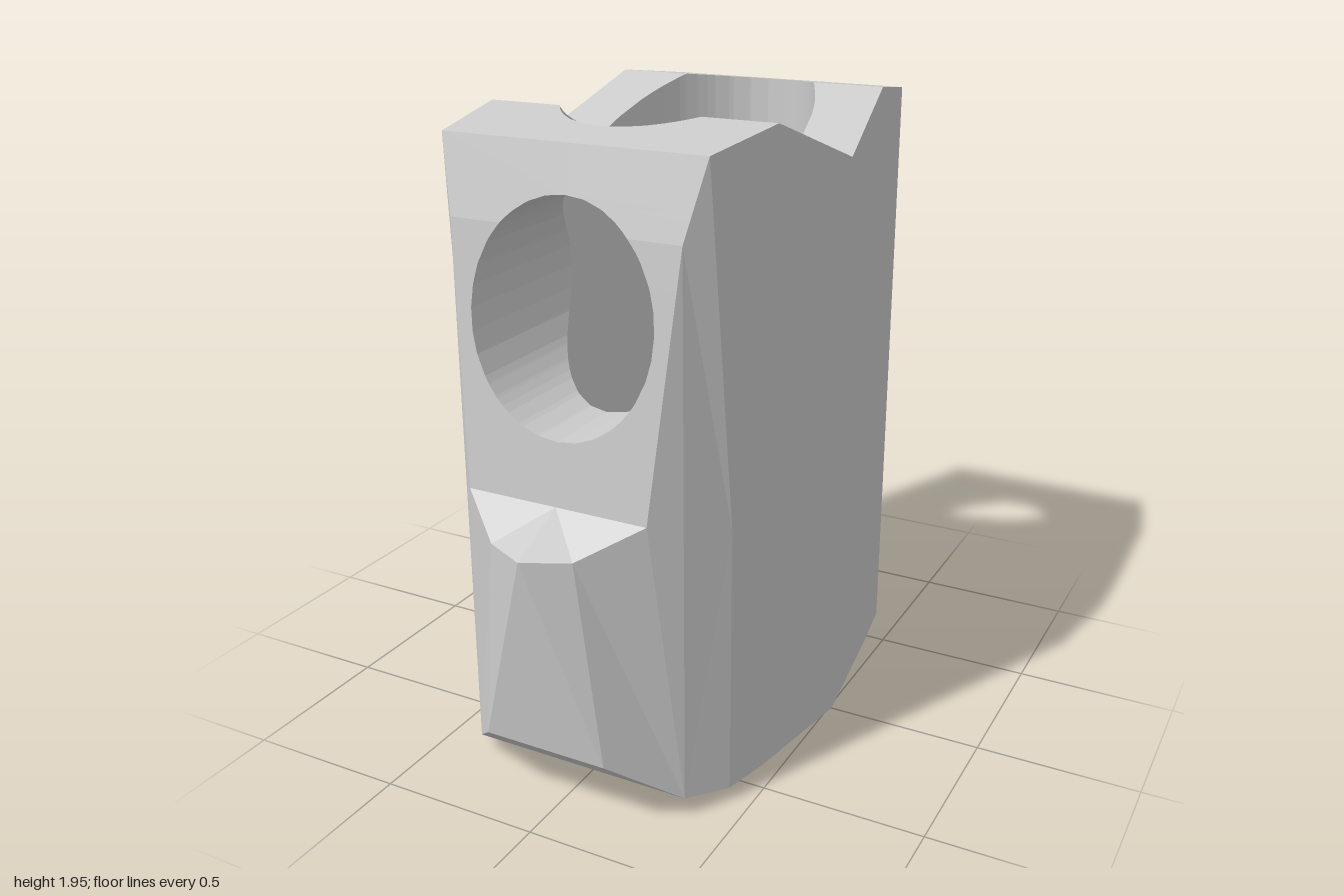
import * as THREE from 'three';

// piecewise-linear lookup through [key, value] pairs
function along(pairs, k) {
  let i = 0;
  while (i < pairs.length - 2 && k > pairs[i + 1][0]) i++;
  const [k0, v0] = pairs[i], [k1, v1] = pairs[i + 1];
  return v0 + (v1 - v0) * (k - k0) / (k1 - k0);
}
// half-width of an ellipse at distance d from its centre
const ellipse = (a, b, d) => a * Math.sqrt(Math.max(0, 1 - (d / b) ** 2));

// triangles between two matching lines of points
function strip(a, b) {
  const tris = [];
  for (let i = 0; i < a.length - 1; i++) {
    tris.push([a[i], b[i], b[i + 1]], [a[i], b[i + 1], a[i + 1]]);
  }
  return tris;
}
// triangles of a polygon, all sharing its first corner
const fan = (p) => p.slice(2).map((q, i) => [p[0], p[i + 1], q]);

// mirror a quarter into all four, turning each triangle along the direction outward(centroid)
function mirroredMesh(name, tris, outward) {
  const pos = [];
  for (const sx of [1, -1]) {
    for (const sz of [1, -1]) {
      for (const tri of tris) {
        const [a, b, c] = tri.map(([x, y, z]) => new THREE.Vector3(x * sx, y, z * sz));
        const n = b.clone().sub(a).cross(c.clone().sub(a));
        if (n.length() < 1e-9) continue;
        const mid = a.clone().add(b).add(c).divideScalar(3);
        const order = n.dot(outward(mid)) > 0 ? [a, b, c] : [a, c, b];
        order.forEach((v) => pos.push(v.x, v.y, v.z));
      }
    }
  }
  const geo = new THREE.BufferGeometry();
  geo.setAttribute('position', new THREE.Float32BufferAttribute(pos, 3));
  geo.computeVertexNormals();
  const mesh = new THREE.Mesh(geo, new THREE.MeshStandardMaterial({ color: 0xcccccc, flatShading: true }));
  mesh.name = name;
  return mesh;
}

export function createModel() {
  // profiles of the quarter with x >= 0, z >= 0
  const topY = [[0, 1.805], [0.38, 1.95], [0.685, 1.91]];
  const topX = [[0, 0.51], [0.685, 0.405]];
  const bottomY = [[0, 0], [0.43, 0.02], [0.73, 0.06], [0.91, 0.22]];
  const bottomX = [[0, 0.51], [0.6, 0.435], [0.73, 0.355], [0.91, 0.195]];
  const faceZ = [[0.935, 0.81], [1.69, 0.735], [1.91, 0.685]];
  const faceX = [[0.935, 0.285], [1.69, 0.355], [1.91, 0.405]];

  // elliptical bores: one upright, one running front to back
  const BX = 0.32, BZ = 0.53, CX = 0.285, CY = 0.33, MID = 1.45;
  const boreZ = (x) => ellipse(BZ, BX, x);
  const crossY = (x) => ellipse(CY, CX, x);

  // shared x samples, including where the bores meet creases and each other
  const xs = [CX, ellipse(BX, BZ, 0.38), ellipse(CX, CY, 1.69 - MID)];
  for (let i = 0; i <= 8; i++) {
    const s = Math.sin((i / 8) * Math.PI / 2);
    xs.push(BX * s);
    if (i > 0 && i < 8) xs.push(CX * s);
  }
  xs.sort((a, b) => a - b);
  const crossXs = xs.filter((x) => x <= CX);

  // top and underside, running around the upright bore
  const boreZs = xs.map(boreZ).reverse();
  const cap = (zs, yOf, xOf) => strip(
    zs.map((z) => [ellipse(BX, BZ, z), along(yOf, z), z]),
    zs.map((z) => [along(xOf, z), along(yOf, z), z]));
  const top = cap([...boreZs, 0.685], topY, topX);
  const underZs = [...boreZs, 0.43, 0.6, 0.73, 0.91].sort((a, b) => a - b);
  const underside = cap(underZs, bottomY, bottomX);

  // sloping end face, running around the cross bore
  const ys = [0.935, 1.91, ...crossXs.flatMap((x) => [MID - crossY(x), MID + crossY(x)])];
  ys.sort((a, b) => a - b);
  const endFace = strip(
    ys.map((y) => [ellipse(CX, CY, y - MID), y, along(faceZ, y)]),
    ys.map((y) => [along(faceX, y), y, along(faceZ, y)]));

  // corners of the outer walls
  const ledgeEnd = [0.285, 0.935, 0.81], noseSide = [0.13, 0.85, 0.935], noseTip = [0, 0.85, 1];
  const noseFoot = [0.195, 0.22, 0.91], cornerFoot = [0.355, 0.06, 0.73];
  const cornerTop = [0.355, 1.69, 0.735], shoulder = [0.405, 1.91, 0.685];
  const flankMid = [0.435, 0.87, 0.6], flankFoot = [0.435, along(bottomY, 0.6), 0.6];
  const ledge = fan([[0, 0.935, 0.81], ledgeEnd, noseSide, noseTip]);
  const nose = fan([noseTip, noseSide, noseFoot, [0, 0.22, 0.91]]);
  const cheek = fan([cornerFoot, noseFoot, noseSide, ledgeEnd, cornerTop]);
  const corner = fan([flankMid, shoulder, cornerTop, cornerFoot, flankFoot]);
  const flank = fan([[0.51, 0, 0], [along(bottomX, 0.43), 0.02, 0.43], flankFoot, flankMid,
    shoulder, [along(topX, 0.38), 1.95, 0.38], [0.51, 1.805, 0]]);

  // upright bore wall, open where the cross bore enters
  const wallPoint = (yOf) => xs.map((x) => [x, yOf(x), boreZ(x)]);
  const uprightWall = [
    ...strip(wallPoint((x) => along(bottomY, boreZ(x))), wallPoint((x) => MID - crossY(x))),
    ...strip(wallPoint((x) => MID + crossY(x)), wallPoint((x) => along(topY, boreZ(x)))),
  ];

  // cross bore wall, from the upright bore out to the end face
  const crossWall = [-1, 1].flatMap((s) => {
    const yAt = (x) => MID + s * crossY(x);
    return strip(
      crossXs.map((x) => [x, yAt(x), boreZ(x)]),
      crossXs.map((x) => [x, yAt(x), along(faceZ, yAt(x))]));
  });

  const fromCentre = (m) => new THREE.Vector3(m.x, m.y - 0.5, m.z);
  const model = new THREE.Group();
  model.name = 'boredBlock';
  model.add(
    mirroredMesh('topFace', top, () => new THREE.Vector3(0, 1, 0)),
    mirroredMesh('underside', underside, () => new THREE.Vector3(0, -1, 0)),
    mirroredMesh('endFaces', endFace, (m) => new THREE.Vector3(0, 0, m.z)),
    mirroredMesh('ledges', ledge, () => new THREE.Vector3(0, 1, 0)),
    mirroredMesh('outerWalls', [...nose, ...cheek, ...corner, ...flank], fromCentre),
    mirroredMesh('uprightBore', uprightWall, (m) => new THREE.Vector3(-m.x, 0, -m.z)),
    mirroredMesh('crossBore', crossWall, (m) => new THREE.Vector3(-m.x, MID - m.y, 0)),
  );
  return model;
}
